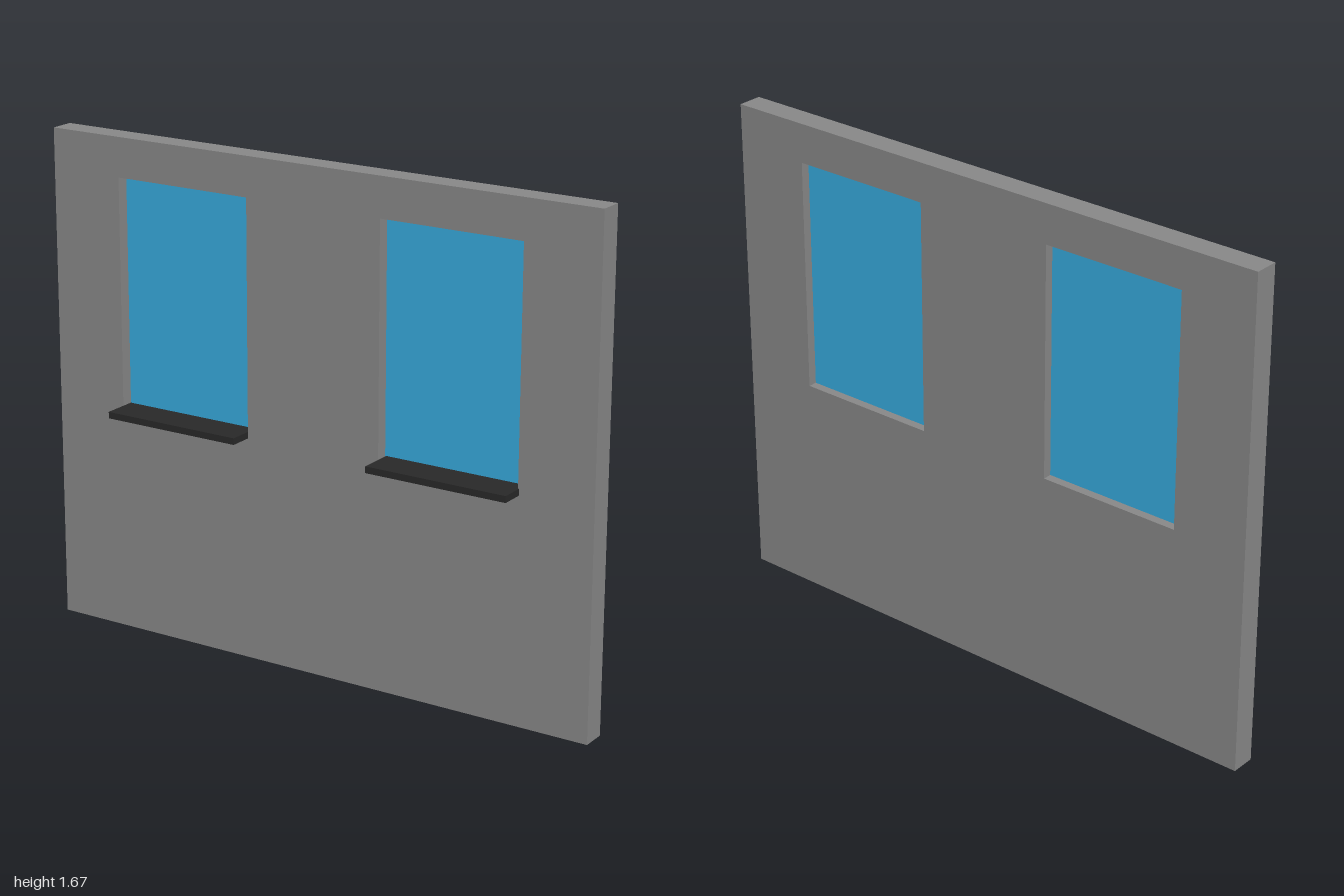
import * as THREE from 'three';

const WALL = { width: 2, height: 1.67, back: -0.081, front: 0.002 };
const OPENING = { width: 0.496, bottom: 0.752, top: 1.538 };
const WINDOWS = [
  { name: 'rightWindow', x: -0.494, sillX: -0.494 },
  { name: 'leftWindow', x: 0.492, sillX: 0.495 },
];
const GLASS = { z: -0.045, depth: 0.012 };
const SILL = { height: 0.022, front: 0.081 };

const wallMaterial = new THREE.MeshStandardMaterial({ color: 0x888888 });
const glassMaterial = new THREE.MeshStandardMaterial({ color: 0x37abde });
const sillMaterial = new THREE.MeshStandardMaterial({ color: 0x292929 });

// Traces a rectangle onto a Shape or Path
function rectangle(path, x0, y0, x1, y1) {
  path.moveTo(x0, y0);
  path.lineTo(x1, y0);
  path.lineTo(x1, y1);
  path.lineTo(x0, y1);
  path.closePath();
  return path;
}

function box(name, width, height, depth, x, y, z, material) {
  const mesh = new THREE.Mesh(new THREE.BoxGeometry(width, height, depth), material);
  mesh.name = name;
  mesh.position.set(x, y, z);
  return mesh;
}

export function createModel() {
  const model = new THREE.Group();
  model.name = 'wallWithWindows';

  // Wall slab with two window openings
  const outline = rectangle(new THREE.Shape(), -WALL.width / 2, 0, WALL.width / 2, WALL.height);
  for (const { x } of WINDOWS) {
    const half = OPENING.width / 2;
    outline.holes.push(rectangle(new THREE.Path(), x - half, OPENING.bottom, x + half, OPENING.top));
  }
  const wall = new THREE.Mesh(
    new THREE.ExtrudeGeometry(outline, { depth: WALL.front - WALL.back, bevelEnabled: false }),
    wallMaterial
  );
  wall.name = 'wall';
  wall.position.z = WALL.back;
  model.add(wall);

  for (const { name, x, sillX } of WINDOWS) {
    const group = new THREE.Group();
    group.name = name;

    // Pane set halfway into the opening
    const paneHeight = OPENING.top - OPENING.bottom;
    group.add(box('glass', OPENING.width, paneHeight, GLASS.depth,
      x, OPENING.bottom + paneHeight / 2, GLASS.z, glassMaterial));

    // Sill running from the pane out past the wall face
    const sillBack = GLASS.z + GLASS.depth / 2;
    group.add(box('sill', OPENING.width, SILL.height, SILL.front - sillBack,
      sillX, OPENING.bottom + SILL.height / 2, (SILL.front + sillBack) / 2, sillMaterial));

    model.add(group);
  }
  return model;
}
